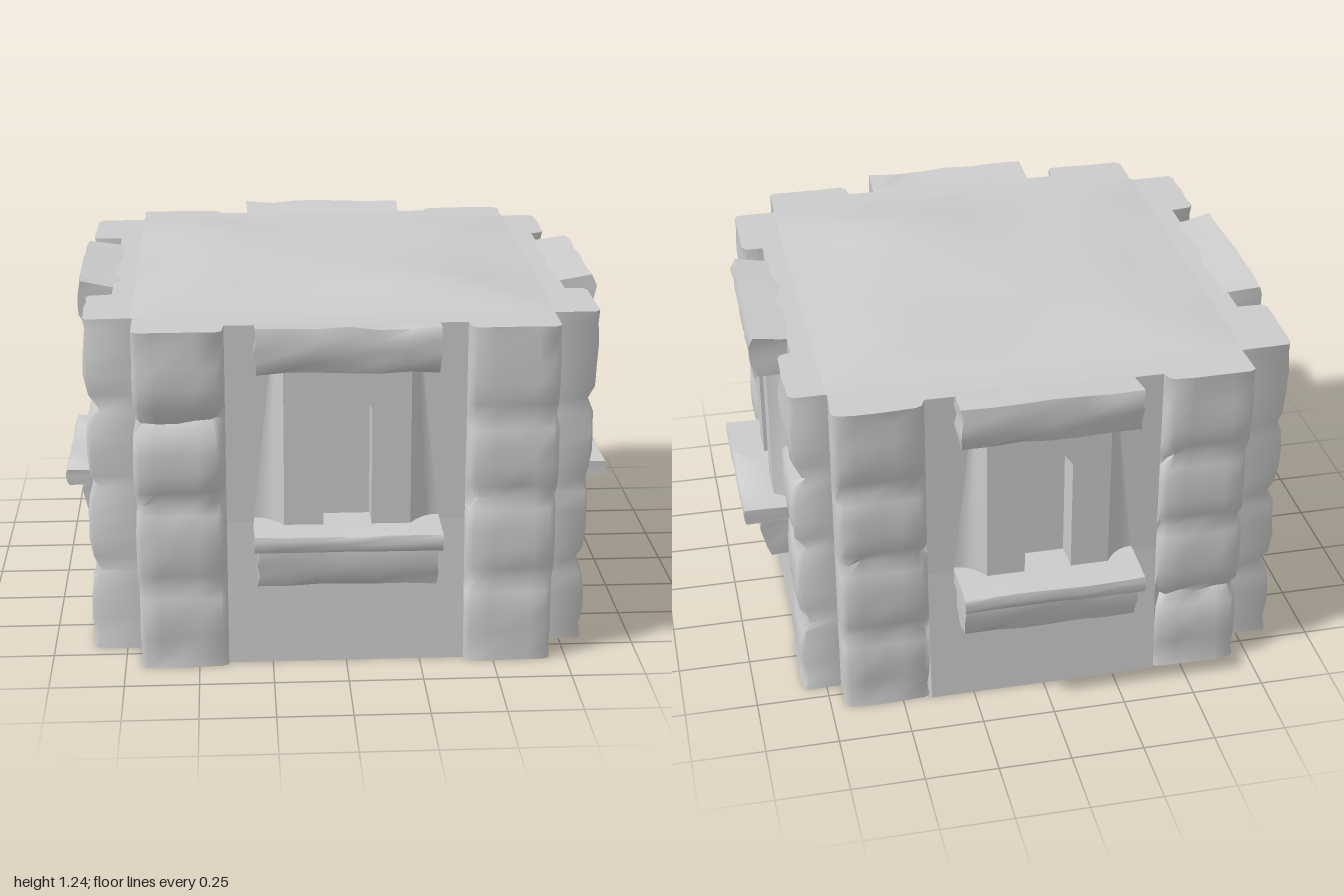
import * as THREE from 'three';
import { toCreasedNormals } from 'three/addons/utils/BufferGeometryUtils.js';

const stone = new THREE.MeshStandardMaterial({ color: 0xcccccc, side: THREE.DoubleSide });
const TOP = 1.185;
const UP = new THREE.Vector3(0, 1, 0);

// Distances from the centre, in the order front, left (+x), back, right (-x)
const PILASTER_BASE = [0.87, 0.832, 0.832, 0.865];
const WALL = [0.8, 0.78, 0.8, 0.78];
const LINTEL = [0.935, 0.91, 0.93, 0.91];
const SILL = [0.995, 0.97, 1.0, 0.97];
// Top distances of the two pilasters at each corner, starting between front and left
const PILASTER_TOP = [[0.865, 0.862], [0.835, 0.85], [0.845, 0.882], [0.868, 0.882]];

// Repeatable value in -1..1 for three numbers
function hash(a, b, c) {
  const s = Math.sin(a * 12.9898 + b * 78.233 + c * 37.719 + 4.1) * 43758.5453;
  return (s - Math.floor(s)) * 2 - 1;
}

// The walls spread outwards below the windows
const lean = y => 0.035 * Math.max(0, 1 - y / 0.5);

function mesh(name, geometry, crease = 1.1) {
  const m = new THREE.Mesh(toCreasedNormals(geometry, crease), stone);
  m.name = name;
  return m;
}

// Hewn block from z0 to z1; taper draws in the lower front edge, sink lowers the rear
function hewnBlock(name, x, y0, y1, z0, z1, { rough, taper, seed, sink = 0 }) {
  const g = new THREE.BoxGeometry(2 * x, y1 - y0, z1 - z0, 6, 4, 2);
  g.translate(0, (y0 + y1) / 2, (z0 + z1) / 2);
  const p = g.attributes.position;
  for (let i = 0; i < p.count; i++) {
    const [px, py, pz] = [p.getX(i), p.getY(i), p.getZ(i)];
    const [a, b, c] = [px, py, pz].map(v => Math.round(v * 1000) / 1000);
    const down = (y1 - py) / (y1 - y0), out = (pz - z0) / (z1 - z0);
    const edge = Math.abs(down - 0.5) > 0.49 && out > 0.9 ? rough : 0;
    p.setXYZ(i,
      px * (1 - 0.2 * taper * down) + rough * 0.4 * hash(a + seed, b, c),
      py - sink * (1 - out) * (1 - down) + out * rough * 0.4 * hash(b, c + seed, a),
      pz - edge - out * taper * down + rough * 0.4 * hash(c, a, b + seed));
  }
  return mesh(name, g);
}

// Corner with two stacked-stone pilasters, lofted from wall edge to wall edge
function cornerStones(q) {
  const r = (q + 1) % 4;
  const across = [0.405, 0.425, 0.49, 0.56, 0.63, 0.68, 0.7];
  const bulge = [0.015, 0.002, 0, 0, 0, 0.002, 0.015];
  const path = [
    [0.4, WALL[q]],
    ...across.map((a, i) => [a, PILASTER_BASE[q] - bulge[i]]),
    [0.7, 0.7],
    ...across.map((a, i) => [PILASTER_BASE[r] - bulge[i], a]).reverse(),
    [WALL[r], 0.4],
  ];
  const n = path.length, mid = (n - 1) / 2;
  const joints = [0, 0.29, 0.59, 0.87, TOP];
  const rows = [];
  for (let s = 0; s < 4; s++) {
    for (const [t, depth] of [[0, 1], [0.15, 0.25], [0.38, 0], [0.62, 0], [0.86, 0.25]]) {
      rows.push({ y: joints[s] + t * (joints[s + 1] - joints[s]), depth: s + t === 0 ? 0 : depth, s, t });
    }
  }
  rows.push({ y: TOP, depth: 0.1, s: 3, t: 1 });

  const pos = [], idx = [], topEdge = [];
  rows.forEach(({ y, depth, s, t }, k) => path.forEach(([x, z], i) => {
    const first = i < mid, face = first ? 1 : 2;
    let rise = 0;
    if (i === 0) z += lean(y);
    else if (i === n - 1) x += lean(y);
    else if (i !== mid) {
      // each joint has its own depth and each stone its own offset
      const joint = t > 0.5 ? s + 1 : s;
      const inset = depth * (0.03 + 0.012 * hash(q, joint, face + 8));
      const spread = (PILASTER_TOP[q][face - 1] - PILASTER_BASE[first ? q : r]) * y / TOP;
      const d = spread + 0.004 * hash(q, s, face) + 0.004 * hash(q * 20 + i, k, 3) - inset;
      const shift = 0.008 * hash(q, s, face + 4);
      const squeeze = a => 0.55 + (a - 0.55) * (1 - 4 * inset * (a < 0.55 ? 1 : 0.4)) + shift;
      if (first) { x = squeeze(x); z += d; } else { z = squeeze(z); x += d; }
      if (depth === 1) rise = 0.01 * hash(q, i, joint);
    }
    const v = new THREE.Vector3(x, y + rise, z).applyAxisAngle(UP, q * Math.PI / 2);
    pos.push(v.x, v.y, v.z);
    if (k === rows.length - 1) topEdge.push(new THREE.Vector2(v.x, -v.z));
    if (k && i) {
      const a = (k - 1) * n + i - 1, b = a + 1, c = a + n, e = c + 1;
      idx.push(a, b, e, a, e, c);
    }
  }));
  const g = new THREE.BufferGeometry();
  g.setAttribute('position', new THREE.Float32BufferAttribute(pos, 3));
  g.setIndex(idx);
  return { corner: mesh('cornerStones', g, 1.2), topEdge };
}

function polygon(path, points) {
  path.setFromPoints(points.map(([x, y]) => new THREE.Vector2(x, y)));
  path.closePath();
  return path;
}

// One wall with its window, sill and lintel, facing +z
function windowSide(q) {
  const side = new THREE.Group();
  side.name = 'windowSide';
  const wallZ = WALL[q], lintelZ = LINTEL[q], sillZ = SILL[q], frameZ = lintelZ - 0.06;

  // Wall around the window, and the spreading wall below it
  const upper = polygon(new THREE.Shape(), [
    [-0.4, 0.5], [-0.2, 0.5], [-0.2, 1.06], [0.2, 1.06],
    [0.2, 0.5], [0.4, 0.5], [0.4, TOP], [-0.4, TOP]]);
  side.add(mesh('upperWall', new THREE.ShapeGeometry(upper).translate(0, 0, wallZ)));
  const lower = new THREE.PlaneGeometry(0.8, 0.5, 4, 4).translate(0, 0.25, wallZ);
  const p = lower.attributes.position;
  for (let i = 0; i < p.count; i++) p.setZ(i, wallZ + lean(p.getY(i)));
  side.add(mesh('lowerWall', lower));

  // Frame with a pointed opening
  const frameShape = polygon(new THREE.Shape(), [[-0.21, 0.49], [0.21, 0.49], [0.21, 1.08], [-0.21, 1.08]]);
  frameShape.holes.push(polygon(new THREE.Path(),
    [[-0.08, 0.51], [0.08, 0.51], [0.08, 0.92], [0, 1.03], [-0.08, 0.92]]));
  const frame = new THREE.ExtrudeGeometry(frameShape, { depth: frameZ - 0.75, bevelEnabled: false });
  side.add(mesh('windowFrame', frame.translate(0, 0, 0.75), 0.4));
  side.add(mesh('windowBack', new THREE.PlaneGeometry(0.2, 0.56).translate(0, 0.78, 0.76)));

  // Hollow curves easing the frame into the wall, wider towards the sill
  for (const s of [-1, 1]) {
    const flare = new THREE.PlaneGeometry(1, 0.56, 5, 4).translate(0.5, 0.78, 0);
    const f = flare.attributes.position;
    for (let i = 0; i < f.count; i++) {
      const t = f.getX(i), width = 0.1 - 0.06 * (f.getY(i) - 0.5) / 0.56;
      f.setX(i, 0.21 + width * t);
      f.setZ(i, wallZ + (frameZ - wallZ) * (1 - t) ** 2.2);
    }
    if (s < 0) flare.rotateY(Math.PI).scale(1, 1, -1);
    side.add(mesh('frameFlare', flare));
  }

  side.add(hewnBlock('lintel', 0.3, 1.05, 1.203, 0.68, lintelZ, { rough: 0.014, taper: 0.012, seed: q, sink: 0.03 }));
  side.add(hewnBlock('sill', 0.31, 0.46, 0.515, wallZ - 0.02, sillZ, { rough: 0.006, taper: 0.004, seed: q + 7 }));
  side.add(hewnBlock('sillBracket', 0.3, 0.31, 0.47, wallZ - 0.02, sillZ - 0.055, { rough: 0.012, taper: 0.025, seed: q + 13 }));
  side.rotation.y = q * Math.PI / 2;
  return side;
}

export function createModel() {
  const model = new THREE.Group();
  model.name = 'stoneTowerBlock';
  const outline = [];

  for (let q = 0; q < 4; q++) {
    const { corner, topEdge } = cornerStones(q);
    model.add(corner, windowSide(q));
    outline.push(...topEdge);
  }

  // Flat rim over the walls and pilasters
  const rim = new THREE.ShapeGeometry(new THREE.Shape(outline)).rotateX(-Math.PI / 2);
  model.add(mesh('roofRim', rim.translate(0, TOP, 0)));

  // Worn, gently domed roof surface
  const roof = new THREE.PlaneGeometry(1.41, 1.41, 20, 20).rotateX(-Math.PI / 2);
  const p = roof.attributes.position;
  for (let i = 0; i < p.count; i++) {
    const x = p.getX(i), z = p.getZ(i);
    const edge = Math.min(1, (0.705 - Math.max(Math.abs(x), Math.abs(z))) / 0.3);
    const swell = 0.025 * Math.exp(-((x - 0.2) ** 2 + (z - 0.42) ** 2) / 0.08);
    p.setY(i, TOP + 0.002 + edge * (0.027 + swell + 0.006 * Math.sin(5 * x + 2) * Math.cos(6 * z)));
  }
  model.add(mesh('roof', roof));
  return model;
}
